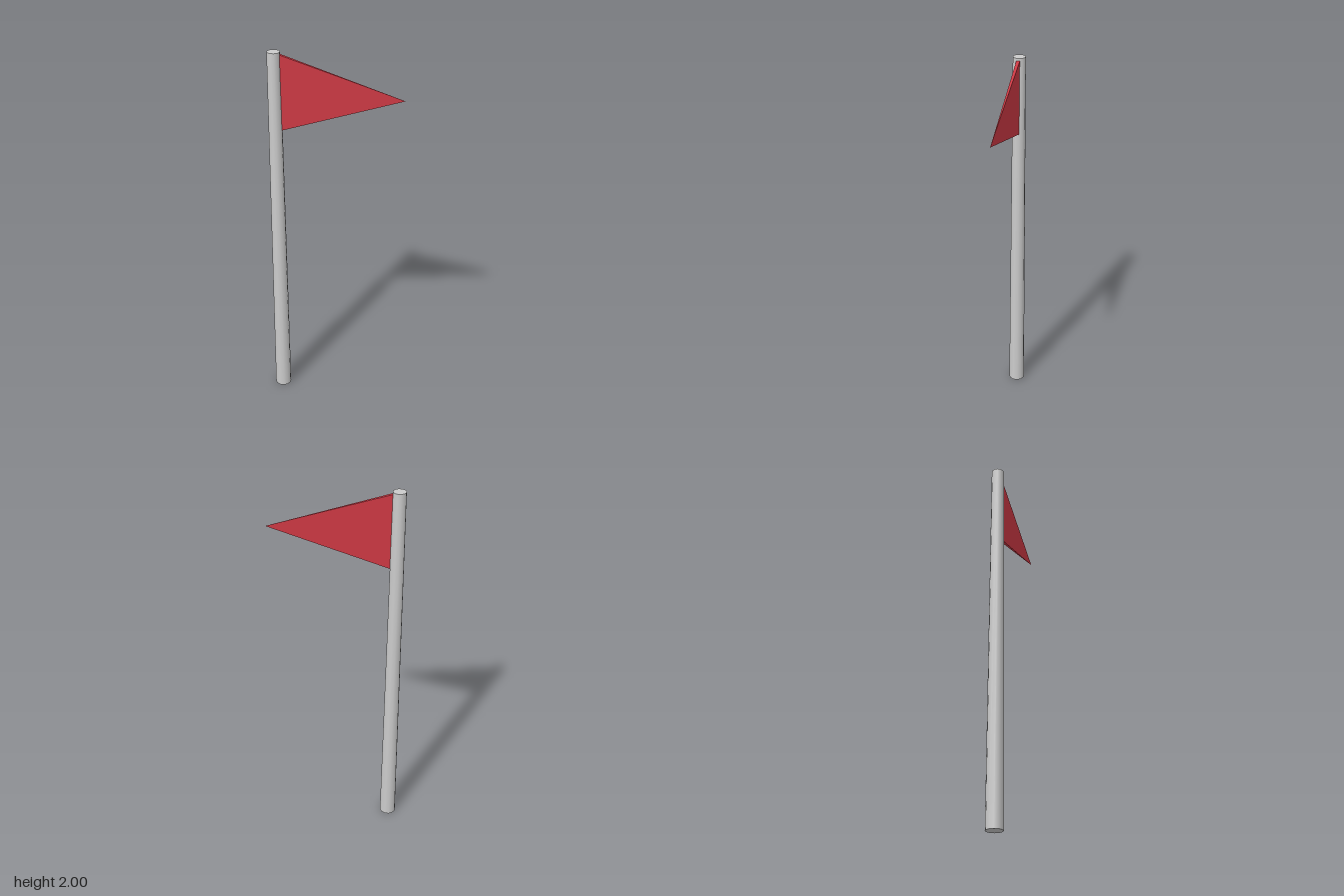
import * as THREE from 'three';

export function createModel() {
  const model = new THREE.Group();
  model.position.set(-0.2925, 0, 0.061);

  // Slightly tapered twelve-sided pole
  const pole = new THREE.Mesh(
    new THREE.CylinderGeometry(0.033, 0.044, 2, 12).translate(0, 1, 0),
    new THREE.MeshStandardMaterial({ color: 0xcccccc })
  );
  pole.name = 'pole';
  model.add(pole);

  // Pennant: a thin four-sided pyramid on its side, thinning to a point
  const start = 0.032, length = 0.618, height = 0.395, thickness = 0.018, droop = 0.009;
  const shape = new THREE.ConeGeometry(Math.SQRT1_2, 1, 4)
    .rotateY(Math.PI / 4)
    .translate(0, 0.5, 0)
    .rotateZ(-Math.PI / 2)
    .scale(length, height, thickness);
  shape.applyMatrix4(new THREE.Matrix4().makeShear(-droop / length, 0, 0, 0, 0, 0));
  shape.translate(start, 0, 0);
  const pennant = new THREE.Mesh(
    shape,
    new THREE.MeshStandardMaterial({ color: 0xcc3843, flatShading: true })
  );
  pennant.name = 'pennant';
  pennant.position.y = 1.789;
  pennant.rotation.y = THREE.MathUtils.degToRad(15);
  model.add(pennant);

  const root = new THREE.Group();
  root.name = 'flag';
  root.add(model);
  return root;
}
